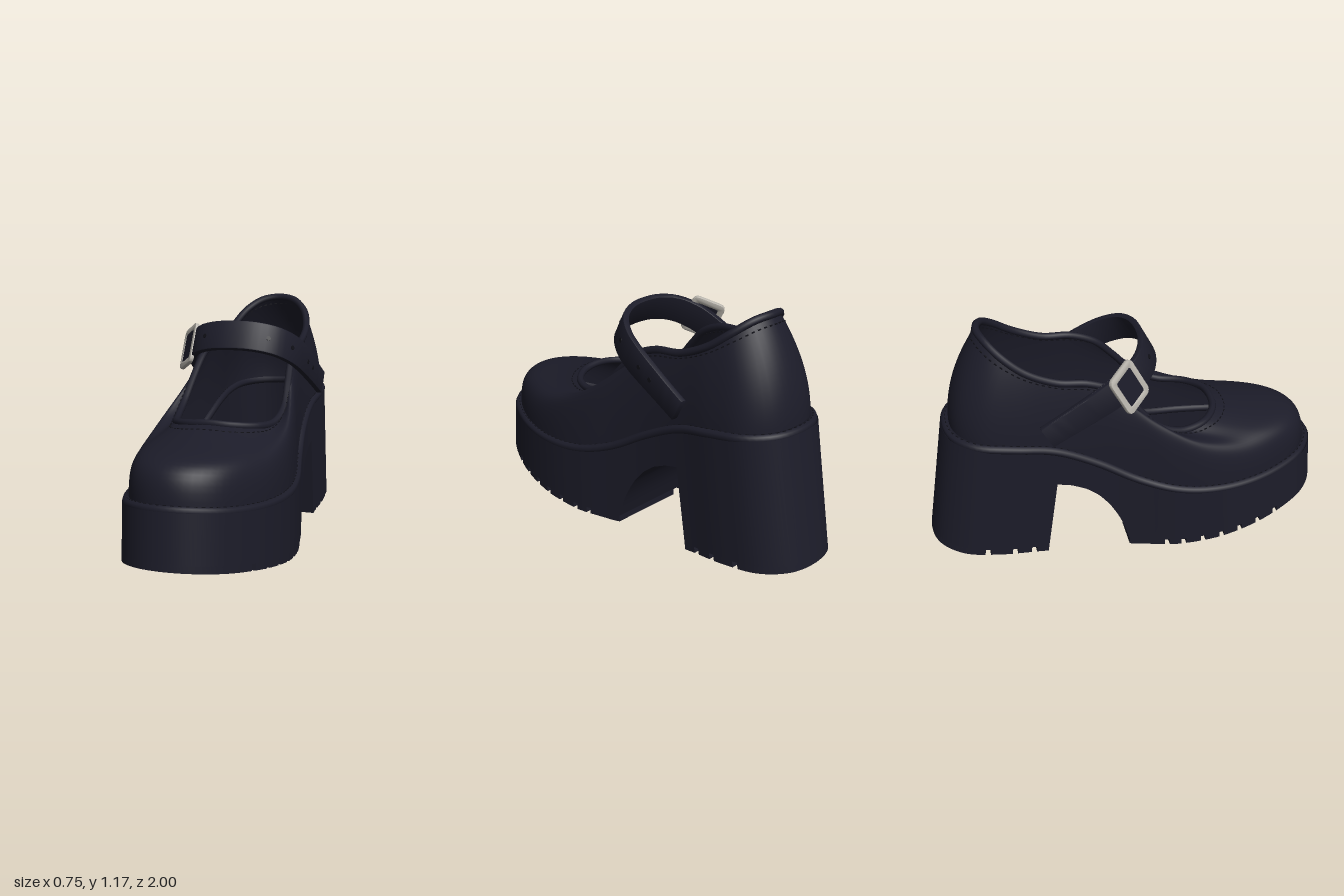
import * as THREE from 'three';
import { mergeGeometries, toCreasedNormals } from 'three/addons/utils/BufferGeometryUtils.js';

const V = (x, y, z) => new THREE.Vector3(x, y, z);
const { lerp, smoothstep } = THREE.MathUtils;

const material = (name, color) => {
  const m = new THREE.MeshStandardMaterial({ color, side: THREE.DoubleSide });
  m.name = name;
  return m;
};

// Linear lookup in a list of [key, value] pairs sorted by key
function lookup(pairs) {
  return (k) => {
    if (k <= pairs[0][0]) return pairs[0][1];
    for (let i = 1; i < pairs.length; i++) {
      const [a, va] = pairs[i - 1], [b, vb] = pairs[i];
      if (k <= b) return b === a ? vb : lerp(va, vb, (k - a) / (b - a));
    }
    return pairs[pairs.length - 1][1];
  };
}
const smoothTable = (pts) => lookup(new THREE.CatmullRomCurve3(pts.map(([a, b]) => V(a, b, 0)))
  .getPoints(120).map((p) => [p.x, p.y]));

// Closed symmetric loop from its +x half, toe to heel
function mirrorLoop(half) {
  const other = half.slice(1, -1).reverse().map((p) => V(-p.x, p.y, p.z));
  const curve = new THREE.CatmullRomCurve3([...half, ...other], true);
  curve.arcLengthDivisions = 800;
  return curve;
}

// Height of the sole's upper edge and underside along z
const soleTop = smoothTable([[-0.89, 0.69], [-0.6, 0.66], [-0.4, 0.62], [-0.2, 0.53], [0, 0.42],
  [0.2, 0.355], [0.4, 0.335], [0.6, 0.335], [0.8, 0.35], [0.975, 0.375]]);
const soleBottom = lookup([[-0.89, 0.095], [-0.39, 0.04], [-0.389, 0.42], [-0.32, 0.405], [-0.25, 0.375],
  [-0.19, 0.33], [-0.14, 0.27], [-0.1, 0.2], [-0.07, 0.13], [-0.045, 0.04], [0, 0.035], [0.2, 0.03],
  [0.4, 0.05], [0.6, 0.08], [0.8, 0.115], [0.975, 0.15]]);

// Plan outline of the sole
const outline = mirrorLoop([[0, 0.975], [0.1, 0.955], [0.2, 0.885], [0.28, 0.76], [0.345, 0.58], [0.372, 0.38],
  [0.355, 0.18], [0.315, 0], [0.28, -0.2], [0.265, -0.4], [0.265, -0.6], [0.235, -0.76], [0.14, -0.86], [0, -0.89]]
  .map(([x, z]) => V(x, 0, z)));
const halfWidth = lookup(Array.from({ length: 241 }, (_, i) => outline.getPointAt(i / 480))
  .map((p) => [p.z, Math.max(0, p.x)]).reverse());

// Opening edge of the upper
const rim = mirrorLoop([[0, 0.635, 0.435], [0.1, 0.628, 0.42], [0.19, 0.618, 0.35], [0.24, 0.618, 0.22],
  [0.255, 0.675, 0.1], [0.245, 0.785, 0], [0.232, 0.885, -0.1], [0.225, 0.937, -0.22], [0.215, 0.955, -0.36],
  [0.2, 1.015, -0.5], [0.16, 1.09, -0.6], [0.09, 1.142, -0.66], [0, 1.157, -0.685]].map((p) => V(...p)));

// Slanted heel and toe walls: shift z with depth below the upper edge
function slant(x, y, z) {
  let dz = 0;
  if (z <= -0.39) dz = -lerp(0.06 * Math.max(0, 0.42 - y) / 0.41, 0.11 * (0.69 - y) / 0.62, (-0.39 - z) / 0.5);
  else if (z > 0) dz = 0.025 * (z / 0.975) * (soleTop(z) - y) / 0.25;
  return V(x, y, z + dz);
}

// Skin over four-cornered sections running along +z
function loft(sections, closed) {
  const pos = [];
  const tri = (...ps) => ps.forEach((p) => pos.push(p.x, p.y, p.z));
  for (let i = 0; i + 1 < sections.length; i++) {
    for (let j = 0; j < (closed ? 4 : 3); j++) {
      const k = (j + 1) % 4, s = sections[i], t = sections[i + 1];
      tri(s[j], s[k], t[k]);
      tri(s[j], t[k], t[j]);
    }
  }
  if (closed) {
    const s = sections[0], t = sections[sections.length - 1];
    tri(s[0], s[2], s[1]); tri(s[0], s[3], s[2]);
    tri(t[0], t[1], t[2]); tri(t[0], t[2], t[3]);
  }
  const g = new THREE.BufferGeometry();
  g.setAttribute('position', new THREE.Float32BufferAttribute(pos, 3));
  return toCreasedNormals(g, 0.6);
}

// Stations from z0 to z1, packed towards a rounded end
function stations(z0, z1, n, pack = 0) {
  return Array.from({ length: n + 1 }, (_, i) => {
    const t = i / n;
    const e = pack > 0 ? Math.sin(t * Math.PI / 2) : pack < 0 ? 1 - Math.cos(t * Math.PI / 2) : t;
    return lerp(z0, z1, e);
  });
}
function block(zs, xa, xb, bottom, top, closed) {
  return loft(zs.map((z) => {
    const w = halfWidth(z), a = Math.max(-w, Math.min(w, xa)), b = Math.max(-w, Math.min(w, xb));
    return [slant(a, top(z), z), slant(a, bottom(z), z), slant(b, bottom(z), z), slant(b, top(z), z)];
  }), closed);
}

// Point on the upper: u runs round the shoe, v from sole to opening
function upperPoint(u, v) {
  const p = outline.getPointAt(u), q = rim.getPointAt(u);
  p.set(p.x * 0.945, 0, p.z * 0.96);
  p.y = soleTop(p.z) - 0.01;
  const f = smoothstep(p.z, -0.6, 0.5), toe = smoothstep(p.z, 0.3, 0.95), dy = q.y - p.y;
  const rise = lerp(lerp(0.45, 0.72, f), 0.95, toe);
  const reach = lerp(lerp(0.3, 0.63, f), 0.72, toe);
  const drop = lerp(lerp(0.15, 0.27, f), 0.4, toe);
  const c1 = V(p.x, p.y + dy * rise, p.z);
  const c2 = V(lerp(q.x, p.x, reach), q.y - dy * drop, lerp(q.z, p.z, reach));
  return new THREE.CubicBezierCurve3(p, c1, c2, q).getPoint(v);
}
function upperGeometry(n = 120, m = 18) {
  const pos = [], idx = [];
  for (let i = 0; i < n; i++) for (let j = 0; j <= m; j++) pos.push(...upperPoint(i / n, j / m).toArray());
  for (let i = 0; i < n; i++) for (let j = 0; j < m; j++) {
    const a = i * (m + 1) + j, b = ((i + 1) % n) * (m + 1) + j;
    idx.push(a, b, a + 1, b, b + 1, a + 1);
  }
  const g = new THREE.BufferGeometry();
  g.setAttribute('position', new THREE.Float32BufferAttribute(pos, 3));
  g.setIndex(idx);
  g.computeVertexNormals();
  return g;
}

// Row of short stitches along a closed path
function stitches(path, count) {
  const o = new THREE.Object3D();
  return mergeGeometries(Array.from({ length: count }, (_, i) => {
    o.position.copy(path(i / count));
    o.lookAt(path(((i + 0.3) / count) % 1));
    o.updateMatrix();
    return new THREE.BoxGeometry(0.005, 0.005, 0.014).applyMatrix4(o.matrix);
  }));
}

function roundedRect(w, h, r, Type) {
  const s = new Type(), x = w / 2, y = h / 2;
  s.moveTo(-x + r, -y).lineTo(x - r, -y).quadraticCurveTo(x, -y, x, -y + r).lineTo(x, y - r)
    .quadraticCurveTo(x, y, x - r, y).lineTo(-x + r, y).quadraticCurveTo(-x, y, -x, y - r)
    .lineTo(-x, -y + r).quadraticCurveTo(-x, -y, -x + r, -y);
  return s;
}

export function createModel() {
  const shoe = new THREE.Group();
  shoe.name = 'platformShoe';
  const leather = material('dark navy leather', 0x1c1c29);
  const thread = material('black thread', 0x101017);
  const metal = material('pale metal', 0xb8b4ac);
  const add = (name, geometry, mat, parent = shoe) => {
    const mesh = new THREE.Mesh(geometry, mat);
    mesh.name = name;
    parent.add(mesh);
    return mesh;
  };

  // Hollow platform sole with arch and block heel
  const coreStations = [...stations(-0.89, -0.39, 28, -1), ...stations(-0.389, 0.3, 40), ...stations(0.32, 0.975, 36, 1)];
  add('platformSole', block(coreStations, -1, 1, soleBottom, (z) => soleTop(z) - 0.012, false), leather);

  // Tread lugs, split by cross grooves and one long groove
  const lugs = [];
  const lugRow = (edges, pack) => {
    for (let i = 0; i + 1 < edges.length; i++) {
      const first = i === 0, last = i === edges.length - 2;
      const z0 = edges[i] + (first ? 0 : 0.012), z1 = edges[i + 1] - (last ? 0 : 0.012);
      const round = (pack > 0 && last) || (pack < 0 && first);
      const zs = stations(z0, z1, round ? 20 : 4, round ? pack : 0);
      for (const [a, b] of [[-1, -0.15], [-0.08, 1]])
        lugs.push(block(zs, a, b, (z) => soleBottom(z) - 0.03, (z) => soleBottom(z) + 0.004, true));
    }
  };
  lugRow([-0.045, 0.135, 0.215, 0.31, 0.405, 0.5, 0.6, 0.7, 0.975], 1);
  lugRow([-0.89, -0.66, -0.54, -0.455, -0.39], -1);
  add('treadLugs', mergeGeometries(lugs), leather);

  // Welt round the top of the sole
  const weltPoint = (u, lift) => {
    const p = outline.getPointAt(u);
    return V(p.x * 0.952, soleTop(p.z) + lift, p.z * 0.976);
  };
  const welt = new THREE.CatmullRomCurve3(Array.from({ length: 80 }, (_, i) => weltPoint(i / 80, -0.012)), true);
  add('welt', new THREE.TubeGeometry(welt, 160, 0.021, 8, true), leather);
  add('weltStitching', stitches((u) => weltPoint(u, 0.008), 130), thread);

  // Upper with rolled collar
  add('upper', upperGeometry(), leather);
  add('collar', new THREE.TubeGeometry(rim, 160, 0.018, 8, true), leather);
  add('collarStitching', stitches((u) => upperPoint(u, 0.9 + 0.04 * Math.cos(u * Math.PI * 2)), 110), thread);

  // Strap: a bent band lying in a tilted plane (x across, s down and back)
  const half = [[0.1, 0.012], [0.19, 0.06], [0.25, 0.15], [0.275, 0.25], [0.288, 0.4], [0.299, 0.59]];
  const path = new THREE.CatmullRomCurve3([...half.map(([x, s]) => V(-x, s, 0)).reverse(), V(0, 0, 0),
    ...half.map(([x, s]) => V(x, s, 0))]);
  const edge = (u, d) => {
    const p = path.getPointAt(u), t = path.getTangentAt(u);
    return new THREE.Vector2(p.x + t.y * d, p.y - t.x * d);
  };
  const side = (d) => Array.from({ length: 49 }, (_, i) => edge(i / 48, d));
  const bandShape = new THREE.Shape([...side(0.01), ...side(-0.01).reverse()]);
  const band = new THREE.ExtrudeGeometry(bandShape,
    { depth: 0.133, bevelEnabled: true, bevelSize: 0.005, bevelThickness: 0.006, bevelSegments: 2 });
  band.translate(0, 0, -0.0665);
  // Narrow the band towards its two ends
  const bp = band.attributes.position;
  for (let i = 0; i < bp.count; i++) bp.setZ(i, bp.getZ(i) * (1 - 0.18 * smoothstep(bp.getY(i), 0.15, 0.6)));
  const strap = new THREE.Group();
  strap.name = 'strap';
  new THREE.Matrix4().makeBasis(V(1, 0, 0), V(0, -0.467, -0.884), V(0, 0.884, -0.467))
    .setPosition(0, 1.005, 0.095).decompose(strap.position, strap.quaternion, strap.scale);
  shoe.add(strap);
  add('strapBand', toCreasedNormals(band, 0.6), leather, strap);

  // Places an object on the strap, its z axis facing outwards
  const onStrap = (object, u, lift) => {
    const p = edge(u, lift), t = path.getTangentAt(u);
    const out = V(t.y, -t.x, 0), up = V(0, 0, 1);
    object.quaternion.setFromRotationMatrix(new THREE.Matrix4().makeBasis(up.clone().cross(out), up, out));
    object.position.set(p.x, p.y, 0);
  };

  // Punched holes
  for (const u of [0.4, 0.61, 0.7, 0.815, 0.87])
    onStrap(add('strapHole', new THREE.CylinderGeometry(0.011, 0.011, 0.004, 14).rotateX(Math.PI / 2), thread, strap), u, 0.0155);

  // Square buckle, turned towards the front, with the leather tab it frames
  const buckle = new THREE.Group();
  buckle.name = 'buckle';
  strap.add(buckle);
  onStrap(buckle, 0.28, 0.022);
  buckle.rotateY(0.35);
  const frame = roundedRect(0.16, 0.205, 0.03, THREE.Shape);
  frame.holes.push(roundedRect(0.115, 0.155, 0.015, THREE.Path));
  const frameGeometry = new THREE.ExtrudeGeometry(frame,
    { depth: 0.012, bevelEnabled: true, bevelSize: 0.004, bevelThickness: 0.004, bevelSegments: 2 });
  add('buckleFrame', toCreasedNormals(frameGeometry, 0.6), metal, buckle);
  add('buckleTab', new THREE.BoxGeometry(0.118, 0.15, 0.012), leather, buckle).position.z = 0.008;
  return shoe;
}
